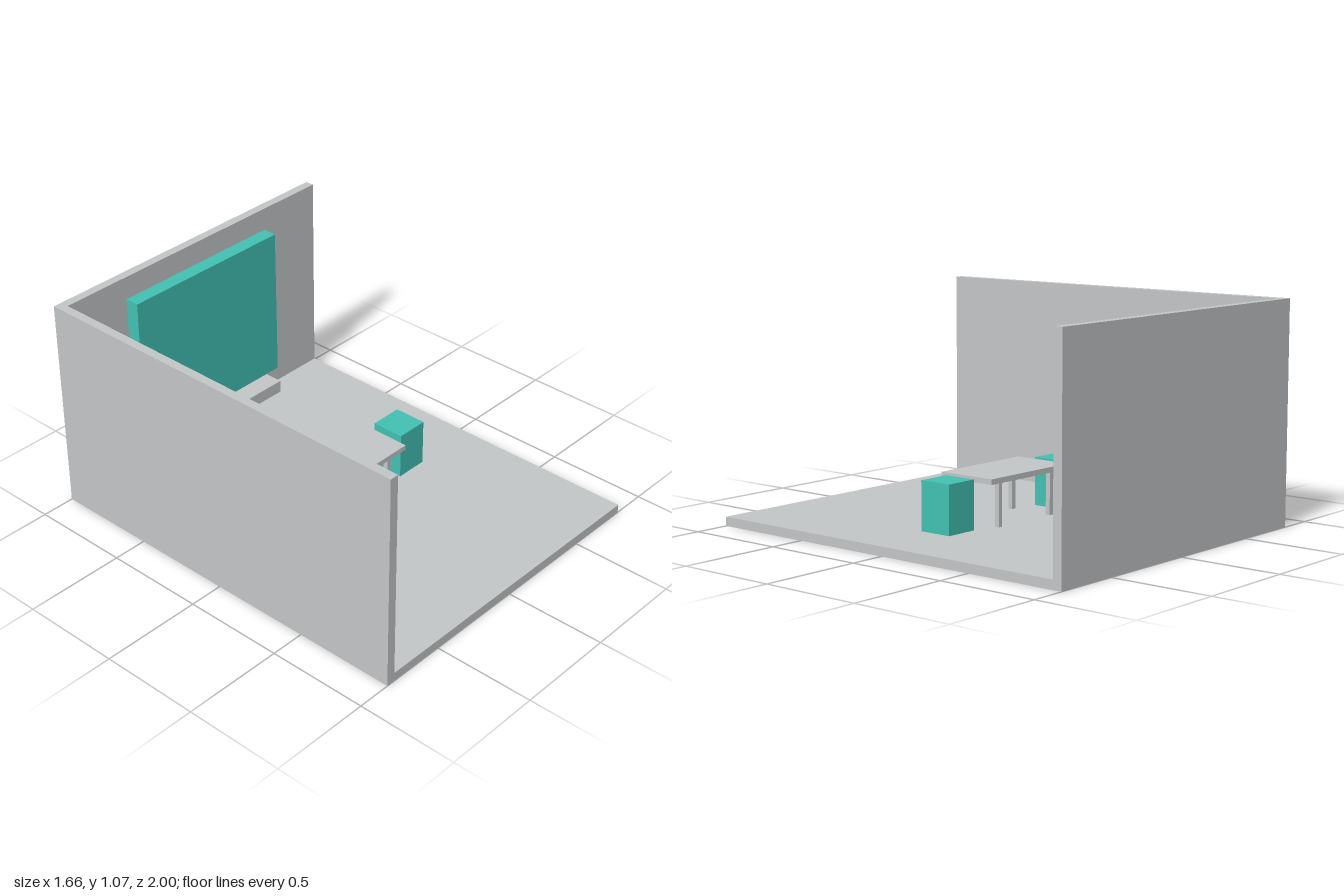
import * as THREE from 'three';

export function createModel() {
  const model = new THREE.Group();
  model.name = 'meetingRoom';

  const grey = new THREE.MeshStandardMaterial({ color: 0xc3c6c8 });
  grey.name = 'light grey';
  const teal = new THREE.MeshStandardMaterial({ color: 0x42c1b3 });
  teal.name = 'teal';

  // Box given by its extents along each axis
  const box = (parent, name, material, [x0, x1], [y0, y1], [z0, z1]) => {
    const mesh = new THREE.Mesh(new THREE.BoxGeometry(x1 - x0, y1 - y0, z1 - z0), material);
    mesh.position.set((x0 + x1) / 2, (y0 + y1) / 2, (z0 + z1) / 2);
    mesh.name = name;
    parent.add(mesh);
  };

  const floorTop = 0.044;

  // Room shell: floor, back wall and one side wall
  const room = new THREE.Group();
  room.name = 'room';
  model.add(room);
  box(room, 'floor', grey, [-0.832, 0.829], [0, floorTop], [-1, 1]);
  box(room, 'backWall', grey, [-0.832, 0.829], [floorTop, 1.066], [-1, -0.956]);
  box(room, 'sideWall', grey, [-0.832, -0.788], [floorTop, 1.066], [-0.956, 1]);

  // Wall screen with the shelf beneath it
  box(model, 'screen', teal, [-0.459, 0.455], [0.2, 0.967], [-0.935, -0.863]);
  box(model, 'shelf', grey, [-0.375, 0.372], [0.137, 0.2], [-0.912, -0.766]);

  // Table
  const table = new THREE.Group();
  table.name = 'table';
  model.add(table);
  box(table, 'tableTop', grey, [-0.275, 0.271], [0.253, 0.279], [-0.152, 0.15]);
  for (const x of [-0.185, 0.181]) {
    for (const z of [-0.115, 0.114]) {
      box(table, 'tableLeg', grey, [x - 0.012, x + 0.012], [floorTop, 0.253], [z - 0.012, z + 0.012]);
    }
  }

  // Stools at both ends of the table
  for (const x of [-0.403, 0.398]) {
    box(model, 'stool', teal, [x - 0.083, x + 0.083], [floorTop, 0.277], [-0.084, 0.083]);
  }

  return model;
}
